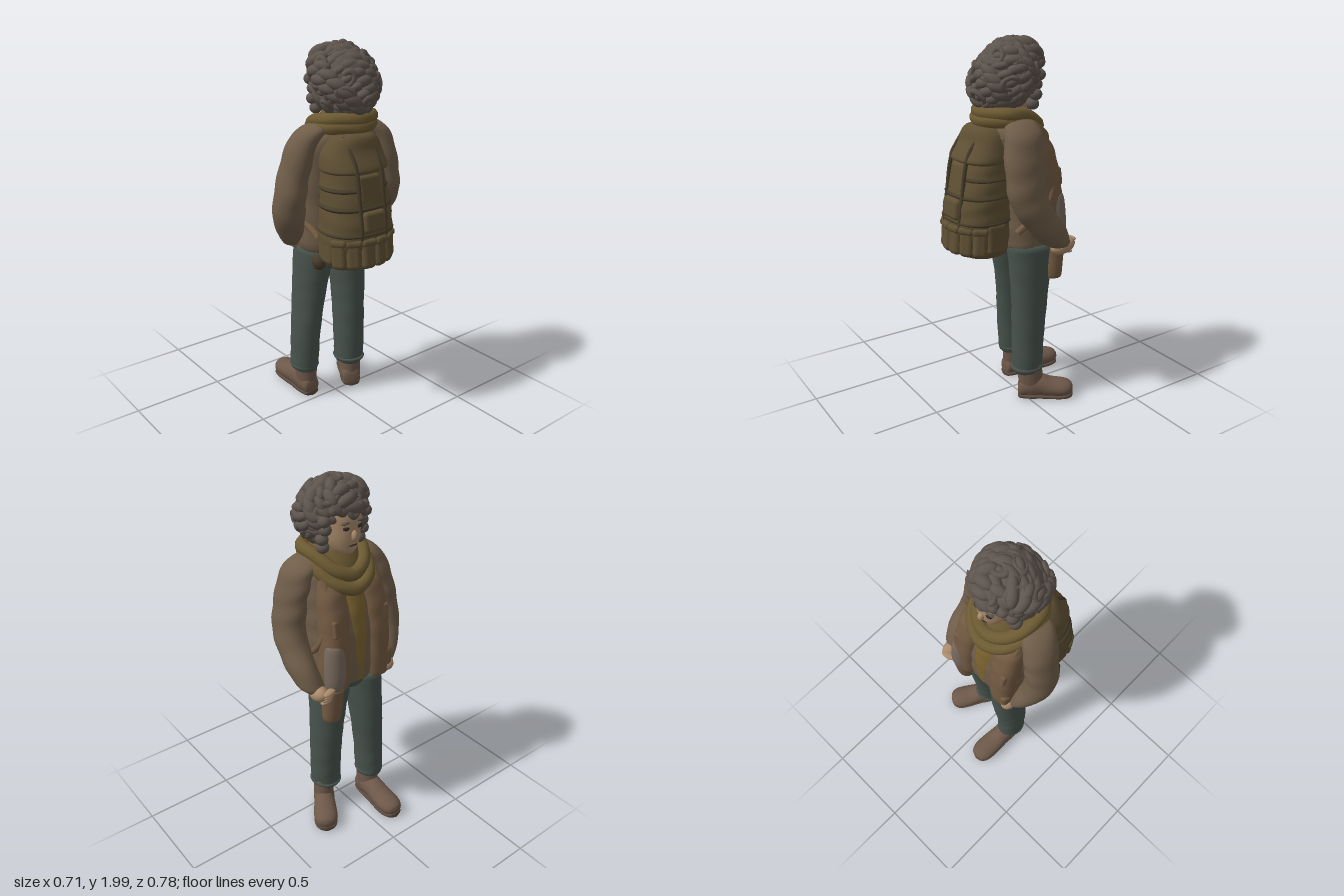
import * as THREE from 'three';
import { RoundedBoxGeometry } from 'three/addons/geometries/RoundedBoxGeometry.js';

const COLORS = {
  hair: 0x5d544d, skin: 0xa98a6b, dark: 0x2e2723, jacket: 0x6f5d49, panel: 0x735a42, vest: 0x7d6430,
  scarf: 0x6c5a32, pants: 0x48534d, boot: 0x6d5849, sole: 0x5a493d, pack: 0x5f5034, strap: 0x463c2a, bottle: 0x77695d,
};
const mats = {};
for (const k in COLORS) mats[k] = new THREE.MeshStandardMaterial({ color: COLORS[k] });

// Smooth skin through horizontal sections [x, y, z, halfWidth, halfDepth], listed upwards
function loft(secs, { power = 2, wobble = 0, freq = 45, sides = 28 } = {}) {
  const path = new THREE.CatmullRomCurve3(secs.map(s => new THREE.Vector3(s[0], s[1], s[2])), false, 'catmullrom');
  const size = new THREE.CatmullRomCurve3(secs.map(s => new THREE.Vector3(s[3], s[4], 0)), false, 'catmullrom');
  const rows = (secs.length - 1) * 7, pos = [], idx = [];
  for (let i = 0; i <= rows; i++) {
    const c = path.getPoint(i / rows), r = size.getPoint(i / rows);
    for (let j = 0; j < sides; j++) {
      const a = j / sides * Math.PI * 2, ca = Math.cos(a), sa = Math.sin(a);
      const k = 1 + wobble * Math.sin(c.y * freq + 2 * Math.sin(a + c.y * 5));
      pos.push(c.x + Math.sign(ca) * Math.abs(ca) ** (2 / power) * r.x * k, c.y,
        c.z + Math.sign(sa) * Math.abs(sa) ** (2 / power) * r.y * k);
      if (i < rows) {
        const p = i * sides + j, q = i * sides + (j + 1) % sides;
        idx.push(p, p + sides, q, q, p + sides, q + sides);
      }
    }
  }
  const n = pos.length / 3, a = secs[0], b = secs[secs.length - 1];
  pos.push(a[0], a[1], a[2], b[0], b[1], b[2]);
  for (let j = 0; j < sides; j++) {
    const k = (j + 1) % sides, top = rows * sides;
    idx.push(n, j, k, n + 1, top + k, top + j);
  }
  const g = new THREE.BufferGeometry();
  g.setAttribute('position', new THREE.Float32BufferAttribute(pos, 3));
  g.setIndex(idx);
  g.computeVertexNormals();
  return g;
}

function add(parent, name, geo, mat, p = [0, 0, 0], s = [1, 1, 1], r = [0, 0, 0]) {
  const m = new THREE.Mesh(geo, mats[mat]);
  m.name = name;
  m.position.set(...p); m.scale.set(...s); m.rotation.set(...r);
  parent.add(m);
  return m;
}
const ball = new THREE.SphereGeometry(1, 20, 14);
const tube = (pts, r, closed = false) => new THREE.TubeGeometry(
  new THREE.CatmullRomCurve3(pts.map(p => new THREE.Vector3(...p)), closed), 48, r, 10, closed);
function sub(parent, name) {
  const g = new THREE.Group();
  g.name = name; parent.add(g);
  return g;
}

function buildBoot(parent, name, x, z, turn, length) {
  const boot = sub(parent, name);
  boot.position.set(x, 0, z); boot.rotation.y = turn;
  const shoe = [[0, 0, .06, .02, .025], [0, .015, .065, .048, .052], [0, .08, .08, .06, .07], [0, .15, .077, .06, .067],
    [0, .22, .067, .066, .054], [0, .3, .062, .066, .047], [0, .345, .06, .045, .034], [0, .36, .06, .012, .012]];
  add(boot, 'shoe', loft(shoe), 'boot', [0, 0, 0], [1, length / .36, 1], [-Math.PI / 2, 0, 0]);
  const sole = shoe.map(s => [0, s[1], .024, s[3] * .97, .015]);
  add(boot, 'sole', loft(sole, { power: 2.6 }), 'sole', [0, 0, 0], [1, length / .36, 1], [-Math.PI / 2, 0, 0]);
  add(boot, 'ankle', loft([[0, .04, -.075, .055, .07], [0, .12, -.072, .058, .07], [0, .22, -.065, .06, .066]]), 'boot');
}

function buildHead(parent) {
  const head = sub(parent, 'head');
  add(head, 'neck', loft([[0, 1.5, .03, .07, .07], [.01, 1.7, .02, .065, .07]]), 'skin');
  add(head, 'face', loft([[.015, 1.615, -.05, .015, .02], [.015, 1.635, -.05, .05, .068], [.015, 1.69, -.045, .08, .088],
    [.015, 1.76, -.04, .092, .096], [.015, 1.85, -.03, .095, .095], [.015, 1.92, 0, .05, .05]]), 'skin');
  add(head, 'nose', ball, 'skin', [.015, 1.73, -.136], [.016, .028, .02]);
  add(head, 'mouth', ball, 'dark', [.015, 1.68, -.128], [.026, .005, .008]);
  for (const s of [-1, 1]) {
    add(head, 'eye', ball, 'dark', [.015 + s * .038, 1.77, -.124], [.018, .01, .012]);
    add(head, 'eyebrow', ball, 'hair', [.015 + s * .04, 1.798, -.122], [.026, .008, .012], [0, 0, -s * .15]);
  }
  // Curly hair leaning forward: a core covered with uneven locks, leaving the face free
  const hair = sub(head, 'hair');
  add(hair, 'hairCore', ball, 'hair', [.014, 1.81, .06], [.16, .17, .15], [-.4, 0, 0]);
  const coil = new THREE.TorusGeometry(.034, .016, 8, 16, 4.6), out = new THREE.Vector3(), zAxis = new THREE.Vector3(0, 0, 1);
  const count = 110;
  for (let i = 0; i < count; i++) {
    const v = 1 - 2 * (i + .5) / count, a = i * 2.39996, w = Math.sqrt(1 - v * v);
    out.set(w * Math.cos(a), v, w * Math.sin(a));
    const jitter = .97 + .05 * Math.sin(i * 5.3);
    const x = .013 + out.x * .164 * jitter, y = 1.808 + out.y * .163 * jitter;
    const z = .052 - .055 * out.y + out.z * .157 * jitter;
    if (z < -.01 && y < 1.84 && Math.abs(x - .015) < .085) continue;
    const r = .026 + .016 * Math.abs(Math.sin(i * 1.7));
    const lock = add(hair, 'lock', ball, 'hair', [x, y, z], [r * 1.4, r * .8, r * .9]);
    lock.quaternion.setFromUnitVectors(zAxis, out);
    lock.rotateZ(.5 * Math.sin(i * 2.9));
    if (i % 3 === 0) {
      const c = add(hair, 'curl', coil, 'hair', [x + out.x * .009, y + out.y * .009, z + out.z * .009], [1.15, .8, 1]);
      c.quaternion.setFromUnitVectors(zAxis, out);
      c.rotateZ(i);
    }
  }
  // Fringe over the brow and locks beside the cheeks
  for (let i = 0; i < 6; i++)
    add(hair, 'fringe', ball, 'hair', [-.075 + i * .036, 1.855 + .012 * (i % 2), -.12 + .004 * (i - 2.5) ** 2], [.03, .025, .026], [0, 0, i]);
  for (const s of [-1, 1]) for (let i = 0; i < 4; i++)
    add(hair, 'sideLock', ball, 'hair', [.014 + s * (.113 + .012 * (i % 2)), 1.665 + i * .048, -.035 - i * .01], [.032, .03, .034]);
}

function buildPack(parent) {
  const pack = sub(parent, 'backpack'), round = { power: 2.4 };
  const body = [[-.03, .88, .2, .12, .09], [-.035, .91, .2, .178, .135], [-.035, 1.06, .21, .195, .158], [-.03, 1.2, .2, .187, .148],
    [-.03, 1.36, .175, .17, .13], [-.025, 1.5, .15, .148, .105], [-.02, 1.56, .145, .1, .08]];
  add(pack, 'packBody', loft(body, { power: 2.4, wobble: .014, freq: 60 }), 'pack');
  add(pack, 'packLid', loft([[-.03, 1.38, .18, .17, .125], [-.03, 1.4, .18, .182, .138], [-.025, 1.48, .16, .166, .115],
    [-.02, 1.55, .15, .12, .095], [-.02, 1.575, .14, .03, .03]], { power: 2.4, wobble: .012 }), 'pack');
  // Belts round the pack
  for (const [y, z, w, d] of [[1.08, .21, .2, .161], [1.21, .2, .192, .151], [1.3, .187, .183, .14]])
    add(pack, 'belt', loft([[-.033, y - .014, z, w - .01, d - .01], [-.033, y, z, w, d], [-.033, y + .014, z, w - .01, d - .01]], round), 'strap');
  for (const x of [-.11, .045])
    add(pack, 'verticalStrap', tube([[x, 1.55, .2], [x, 1.42, .297], [x, 1.22, .335], [x, 1.07, .352], [x, .93, .32]], .011), 'strap');
  // Lower pockets following the curve of the pack, then the upper pockets
  for (const a of [-1.05, -.62, -.2, .2, .62, 1.05]) {
    const x = -.034 + Math.sin(a) * .185, z = .205 + Math.cos(a) * .15;
    add(pack, 'lowerPocket', new RoundedBoxGeometry(.08, .15, .055, 4, .027), 'pack', [x, .98, z], [1, 1, 1], [-.08, a, 0]);
    add(pack, 'pocketFlap', new RoundedBoxGeometry(.084, .04, .063, 3, .018), 'pack', [x, 1.045, z], [1, 1, 1], [-.05, a, 0]);
  }
  add(pack, 'middlePocket', new RoundedBoxGeometry(.14, .11, .05, 4, .022), 'pack', [-.032, 1.145, .347], [1, 1, 1], [-.1, 0, 0]);
  add(pack, 'upperPocket', new RoundedBoxGeometry(.15, .15, .05, 4, .022), 'pack', [-.032, 1.3, .302], [1, 1, 1], [-.2, 0, 0]);
  for (const [x, s] of [[-.2, -1], [.14, 1]])
    add(pack, 'sidePocket', new RoundedBoxGeometry(.06, .17, .12, 4, .028), 'pack', [x, 1.0, .2], [1, 1, 1], [0, 0, s * .04]);
  add(pack, 'hangingPouch', ball, 'strap', [-.225, .915, .15], [.035, .045, .04]);
  add(pack, 'carryLoop', tube([[-.07, 1.55, .17], [-.05, 1.59, .19], [.02, 1.59, .19], [.04, 1.55, .17]], .012), 'strap');
  for (const s of [-1, 1])
    add(pack, 'shoulderStrap', tube([[s * .13, 1.5, .15], [s * .15, 1.58, .05], [s * .155, 1.53, -.06], [s * .165, 1.35, -.135], [s * .2, 1.15, -.08], [s * .19, 1.02, .1]], .018), 'panel');
}

export function createModel() {
  const model = new THREE.Group();
  model.name = 'backpackTraveller';

  // Legs
  const legs = sub(model, 'legs');
  add(legs, 'rightLeg', loft([[-.145, .165, -.098, .062, .072], [-.147, .2, -.098, .075, .086], [-.142, .4, -.09, .079, .092], [-.12, .65, -.085, .085, .112], [-.1, .93, -.055, .1, .138]], { wobble: .012 }), 'pants');
  add(legs, 'leftLeg', loft([[.115, .165, -.02, .066, .072], [.115, .2, -.02, .083, .085], [.115, .4, -.024, .086, .093], [.113, .65, -.035, .09, .109], [.1, .93, -.045, .105, .135]], { wobble: .012 }), 'pants');
  add(legs, 'hips', loft([[0, .845, -.05, .03, .06], [0, .88, -.05, .1, .11], [0, 1, -.05, .19, .13]]), 'pants');
  for (const [x, z, w] of [[-.147, -.098, .069], [.115, -.02, .077]])
    add(legs, 'trouserCuff', new THREE.TorusGeometry(w, .011, 8, 28), 'pants', [x, .195, z], [1, 1.08, 1], [Math.PI / 2, 0, 0]);
  buildBoot(model, 'rightBoot', -.14, -.03, -.06, .36);
  buildBoot(model, 'leftBoot', .098, .03, -.58, .31);

  // Jacket, vest and open front panels
  const coat = sub(model, 'clothing');
  add(coat, 'jacket', loft([[0, .91, -.035, .18, .13], [0, .95, -.035, .205, .15], [0, 1.2, -.03, .215, .15], [0, 1.4, .01, .22, .15],
    [0, 1.52, .04, .215, .135], [0, 1.59, .05, .15, .1], [0, 1.63, .05, .08, .07]], { power: 2.4, wobble: .012 }), 'jacket');
  add(coat, 'vest', loft([[0, .92, -.1, .08, .07], [0, .945, -.105, .1, .08], [0, 1.2, -.1, .1, .085], [0, 1.42, -.06, .09, .09], [0, 1.53, -.02, .06, .06]], { wobble: .02 }), 'vest');
  for (const s of [-1, 1]) {
    add(coat, 'frontPanel', loft([[s * .135, .91, -.13, .055, .06], [s * .135, .94, -.13, .075, .08], [s * .13, 1.2, -.118, .075, .085],
      [s * .12, 1.42, -.075, .075, .085], [s * .11, 1.54, -.015, .06, .07]], { power: 2.5, wobble: .025 }), 'panel');
    add(coat, 'chestPocket', new RoundedBoxGeometry(.09, .1, .03, 3, .014), 'panel', [s * .135, 1.28, -.175], [1, 1, 1], [.14, s * .15, 0]);
  }
  add(coat, 'hipPocket', new RoundedBoxGeometry(.11, .12, .06, 4, .025), 'panel', [-.15, 1.01, -.175], [1, 1, 1], [0, -.2, 0]);

  // Scarf
  const scarf = sub(model, 'scarf');
  add(scarf, 'lowerWrap', tube([[0, 1.585, .195], [-.12, 1.59, .14], [-.16, 1.57, .02], [-.1, 1.49, -.11], [.01, 1.455, -.152], [.11, 1.49, -.11], [.16, 1.57, .02], [.12, 1.59, .14]], .035, true), 'scarf');
  add(scarf, 'upperWrap', tube([[0, 1.625, .19], [-.125, 1.625, .12], [-.14, 1.61, .01], [-.08, 1.55, -.09], [.01, 1.52, -.12], [.09, 1.55, -.09], [.14, 1.61, .01], [.14, 1.625, .12]], .036, true), 'scarf');
  add(scarf, 'neckFill', loft([[0, 1.48, 0, .11, .12], [0, 1.56, .03, .13, .13], [0, 1.64, .06, .115, .12]]), 'scarf');

  // Arms: sleeves and hands
  const arms = sub(model, 'arms');
  add(arms, 'leftSleeve', loft([[.25, .935, -.115, .055, .06], [.266, .97, -.085, .07, .085], [.275, 1.07, -.01, .077, .108], [.265, 1.2, .075, .08, .105],
    [.242, 1.36, .085, .078, .11], [.207, 1.51, .07, .078, .108], [.165, 1.58, .06, .065, .08], [.14, 1.61, .055, .02, .03]], { wobble: .025 }), 'jacket');
  add(arms, 'rightSleeve', loft([[-.205, .935, -.125, .04, .05], [-.222, .98, -.105, .055, .075], [-.258, 1.07, -.065, .075, .095], [-.28, 1.2, -.025, .08, .095],
    [-.258, 1.36, -.01, .075, .095], [-.215, 1.51, .015, .075, .095], [-.17, 1.58, .04, .065, .08], [-.14, 1.61, .05, .02, .03]], { wobble: .025 }), 'jacket');
  add(arms, 'leftHand', ball, 'skin', [.25, .925, -.15], [.045, .045, .07], [.3, -.2, 0]);
  add(arms, 'rightHand', ball, 'skin', [-.19, .95, -.165], [.04, .045, .05]);
  for (let i = 0; i < 4; i++)
    add(arms, 'finger', ball, 'skin', [.225, .95 - i * .021, -.208 + i * .008], [.045, .013, .022], [0, .3, 0]);

  // Bottle held beside the hip, in its pouch
  const bottle = sub(model, 'bottle');
  add(bottle, 'bottlePouch', loft([[.165, .725, -.148, .035, .035], [.165, .74, -.148, .052, .05], [.162, .87, -.155, .057, .056], [.16, .93, -.165, .054, .052]], { wobble: .015 }), 'panel');
  add(bottle, 'flask', loft([[.16, .9, -.165, .045, .045], [.158, 1.0, -.17, .058, .056], [.155, 1.16, -.16, .054, .052], [.155, 1.2, -.155, .035, .035]]), 'bottle');

  buildHead(model);
  buildPack(model);
  return model;
}
